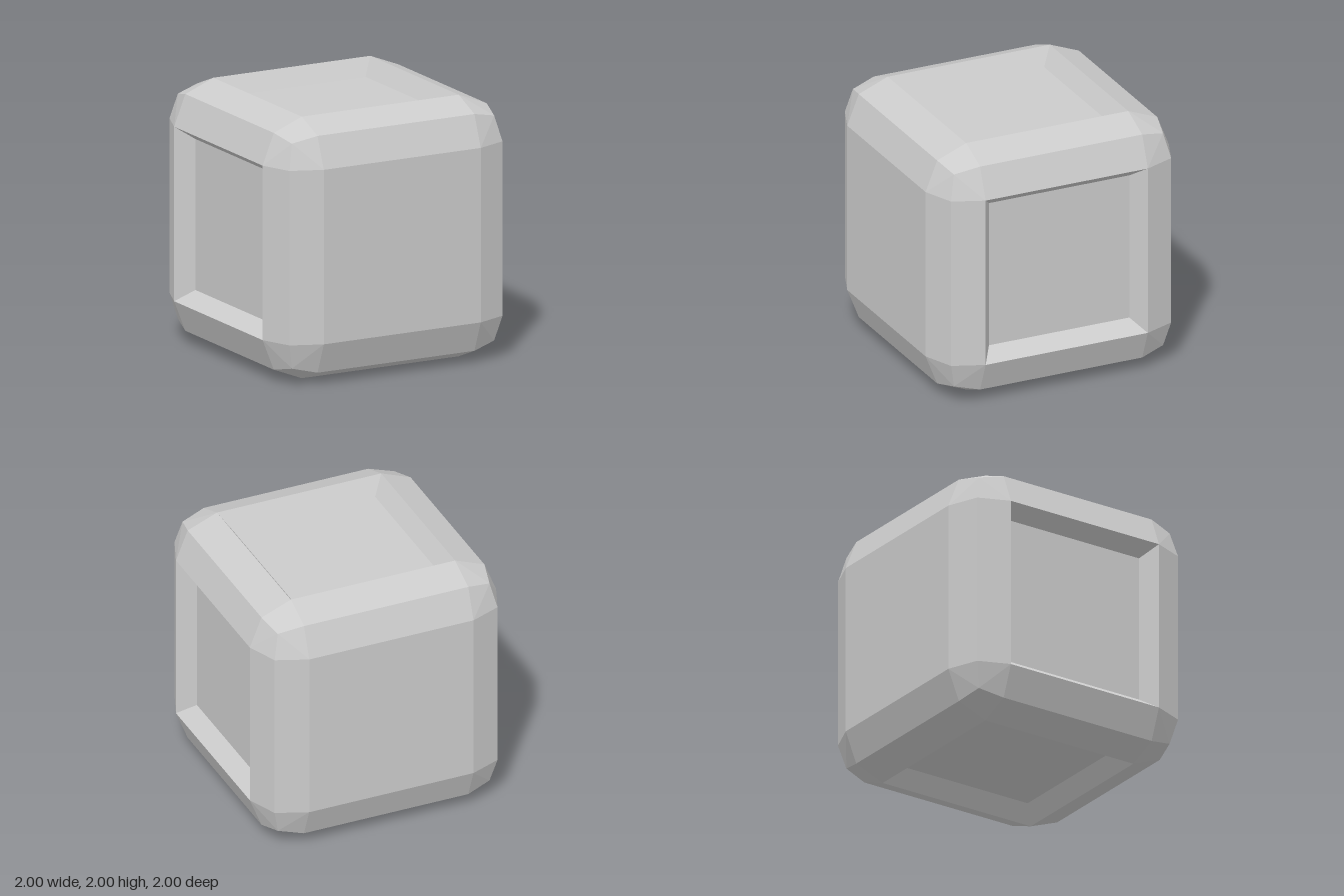
import * as THREE from 'three';

const INNER = 0.667;   // half width of the flat centre of a side
const EDGE = 0.905;    // height of the bevel ridge along the cube's edges
const CORNER = 0.86;   // coordinate of the rounded-off corners
const FLOOR = 0.577;   // half width of the recess floor
const DEPTH = 0.13;    // depth of the recess

// Point (i, j) of a 4 x 4 grid wrapped over the side facing +z
function gridPoint(i, j) {
  const outerI = i % 3 === 0, outerJ = j % 3 === 0;
  const si = i < 2 ? -1 : 1, sj = j < 2 ? -1 : 1;
  if (outerI && outerJ) return [si * CORNER, sj * CORNER, CORNER];
  if (outerI) return [si * EDGE, sj * INNER, EDGE];
  if (outerJ) return [si * INNER, sj * EDGE, EDGE];
  return [si * INNER, sj * INNER, 1];
}

// Flat-shaded geometry from counter-clockwise quads
function quadGeometry(quads) {
  const pos = [];
  for (const [a, b, c, d] of quads) pos.push(...a, ...b, ...c, ...a, ...c, ...d);
  const geo = new THREE.BufferGeometry();
  geo.setAttribute('position', new THREE.Float32BufferAttribute(pos, 3));
  geo.computeVertexNormals();
  return geo;
}

// Bevelled border of one side; a plain side also gets its flat centre
function sideGeometry(plain) {
  const quads = [];
  for (let i = 0; i < 3; i++) {
    for (let j = 0; j < 3; j++) {
      if (i === 1 && j === 1 && !plain) continue;
      const q = [gridPoint(i, j), gridPoint(i + 1, j), gridPoint(i + 1, j + 1), gridPoint(i, j + 1)];
      // split corner quads from the flat centre out to the cube's corner
      if (i !== j) q.push(q.shift());
      quads.push(q);
    }
  }
  return quadGeometry(quads);
}

// Sloping walls and floor of a recessed panel
function recessGeometry() {
  const ring = (r, z) => [[-r, -r, z], [r, -r, z], [r, r, z], [-r, r, z]];
  const rim = ring(INNER, 1), floor = ring(FLOOR, 1 - DEPTH);
  const quads = [floor];
  for (let k = 0; k < 4; k++) {
    const n = (k + 1) % 4;
    quads.push([rim[k], rim[n], floor[n], floor[k]]);
  }
  return quadGeometry(quads);
}

export function createModel() {
  const group = new THREE.Group();
  group.name = 'panelledCube';
  const material = new THREE.MeshStandardMaterial({ color: 0xcccccc, flatShading: true });

  const plainSide = sideGeometry(true);
  const frameSide = sideGeometry(false);
  const recess = recessGeometry();

  // name, rotation about x, rotation about y, recessed
  const sides = [
    ['front', 0, 0, false],
    ['back', 0, Math.PI, false],
    ['left', 0, Math.PI / 2, true],
    ['right', 0, -Math.PI / 2, true],
    ['top', -Math.PI / 2, 0, true],
    ['bottom', Math.PI / 2, 0, true],
  ];
  for (const [name, rx, ry, recessed] of sides) {
    const side = new THREE.Group();
    side.name = name + 'Side';
    const shell = new THREE.Mesh(recessed ? frameSide : plainSide, material);
    shell.name = name + (recessed ? 'Frame' : 'Panel');
    side.add(shell);
    if (recessed) {
      const panel = new THREE.Mesh(recess, material);
      panel.name = name + 'Recess';
      side.add(panel);
    }
    side.rotation.set(rx, ry, 0);
    side.position.y = 1;
    group.add(side);
  }
  return group;
}
